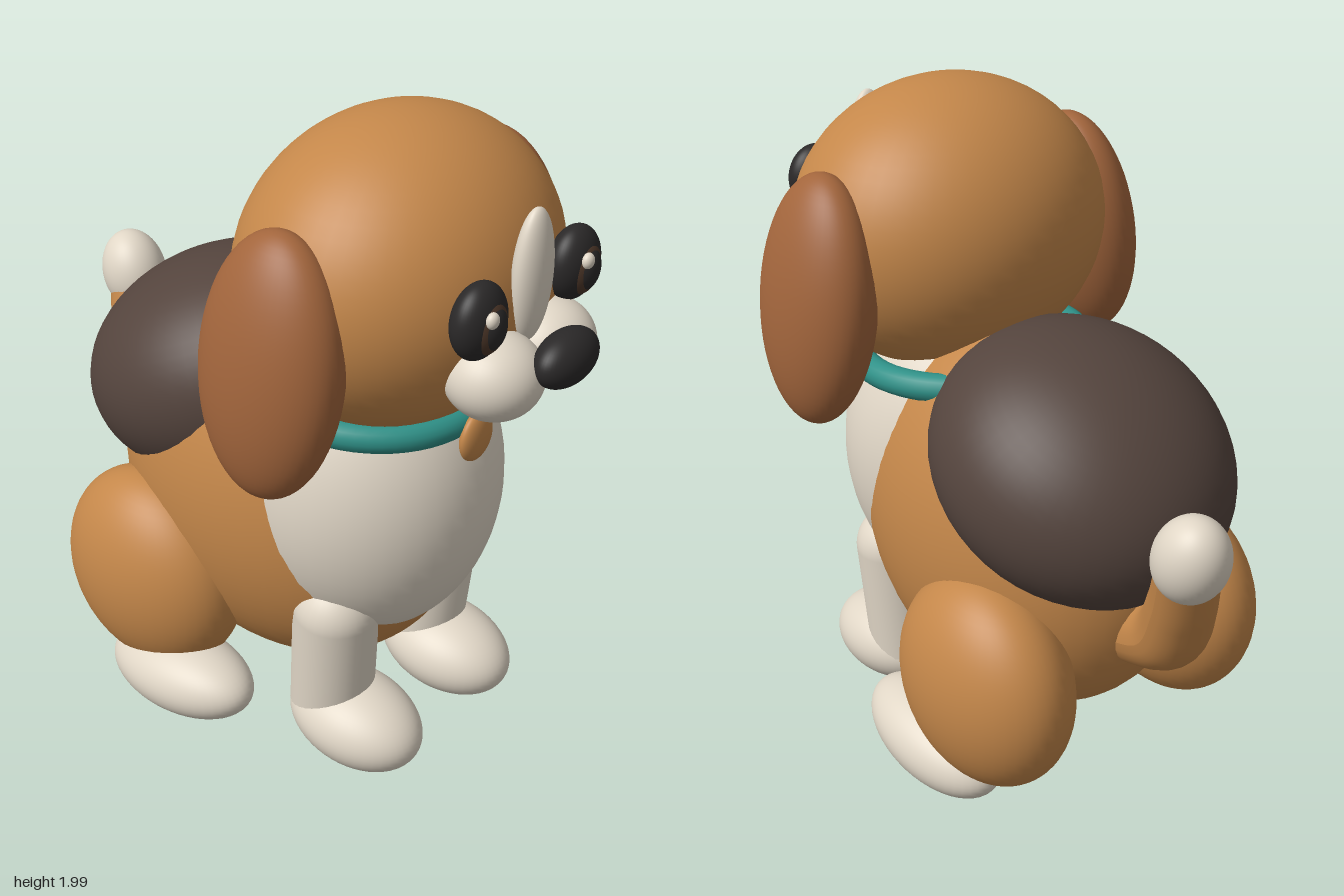
import * as THREE from 'three';

const paint = (name, color) => {
  const m = new THREE.MeshStandardMaterial({ color });
  m.name = name;
  return m;
};

export function createModel() {
  const tan = paint('tan fur', 0xc4874a);
  const brown = paint('brown ear fur', 0xa2653c);
  const dark = paint('dark saddle fur', 0x54443d);
  const cream = paint('cream fur', 0xe0d6c6);
  const black = paint('black', 0x2a2828);
  const iris = paint('iris brown', 0x4c3628);
  const teal = paint('teal collar', 0x2f9188);

  const dog = new THREE.Group();
  dog.name = 'puppy';
  const sphere = new THREE.SphereGeometry(1, 48, 32);

  const add = (name, geometry, material) => {
    const mesh = new THREE.Mesh(geometry, material);
    mesh.name = name;
    dog.add(mesh);
    return mesh;
  };
  // Ellipsoid with centre, radii and tilt
  const ball = (name, material, centre, radii, tilt = [0, 0, 0]) => {
    const mesh = add(name, sphere, material);
    mesh.position.set(...centre);
    mesh.scale.set(...radii);
    mesh.rotation.set(...tilt);
    return mesh;
  };

  // Torso with overlapping coat markings
  ball('body', tan, [0, 0.755, 0], [0.433, 0.62, 0.6]);
  ball('chest', cream, [0, 0.87, 0.28], [0.39, 0.52, 0.4]);
  ball('saddle', dark, [0, 1.03, -0.25], [0.437, 0.35, 0.47], [-0.436, 0, 0]);

  // Head and face
  ball('head', tan, [0, 1.57, 0.37], [0.49, 0.43, 0.415]);
  ball('blaze', cream, [0, 1.68, 0.785], [0.07, 0.185, 0.043]);
  ball('nose', black, [0, 1.49, 0.905], [0.115, 0.075, 0.065]);

  // Collar and tag
  const collar = add('collar', new THREE.TorusGeometry(0.333, 0.042, 16, 64), teal);
  collar.position.set(0, 1.2, 0.275);
  collar.rotation.x = Math.PI / 2 + 0.06;
  ball('collarTag', tan, [0, 1.14, 0.652], [0.066, 0.076, 0.028]);

  // Paired parts
  for (const [side, s] of [['left', 1], ['right', -1]]) {
    ball(side + 'Ear', brown, [s * 0.48, 1.45, 0.345], [0.14, 0.37, 0.218], [0, 0, s * 0.13]);
    ball(side + 'Muzzle', cream, [s * 0.115, 1.437, 0.77], [0.135, 0.118, 0.132], [0, 0, s * 0.12]);

    ball(side + 'Eye', black, [s * 0.205, 1.633, 0.775], [0.09, 0.104, 0.06]);
    ball(side + 'Iris', iris, [s * 0.205, 1.628, 0.8], [0.062, 0.078, 0.043]);
    ball(side + 'Pupil', black, [s * 0.205, 1.628, 0.81], [0.05, 0.065, 0.038]);
    ball(side + 'EyeGlint', cream, [s * 0.205 - 0.024, 1.664, 0.832], [0.02, 0.022, 0.016]);

    // Front leg: a capsule between shoulder and paw
    const foot = new THREE.Vector3(s * 0.222, 0.15, 0.345);
    const shoulder = new THREE.Vector3(s * 0.24, 0.53, 0.37);
    const axis = shoulder.clone().sub(foot);
    const leg = add(side + 'FrontLeg', new THREE.CapsuleGeometry(0.127, axis.length(), 12, 32), cream);
    leg.position.copy(foot).add(shoulder).multiplyScalar(0.5);
    leg.quaternion.setFromUnitVectors(new THREE.Vector3(0, 1, 0), axis.normalize());
    ball(side + 'FrontPaw', cream, [s * 0.222, 0.139, 0.44], [0.16, 0.133, 0.225], [0.06, 0, 0]);

    ball(side + 'Thigh', tan, [s * 0.362, 0.433, -0.26], [0.213, 0.335, 0.32]);
    ball(side + 'HindPaw', cream, [s * 0.43, 0.149, -0.09], [0.148, 0.124, 0.273], [-0.12, 0, 0]);
  }

  // Tail: a tube that narrows toward the tip
  const path = new THREE.CatmullRomCurve3([
    new THREE.Vector3(0, 0.58, -0.45),
    new THREE.Vector3(0.04, 0.68, -0.67),
    new THREE.Vector3(0.09, 0.85, -0.77),
    new THREE.Vector3(0.14, 1.03, -0.835),
  ]);
  const rings = 32, sides = 24;
  const tail = new THREE.TubeGeometry(path, rings, 0.116, sides);
  const p = tail.attributes.position, v = new THREE.Vector3();
  for (let i = 0; i < p.count; i++) {
    const t = Math.floor(i / (sides + 1)) / rings;
    v.fromBufferAttribute(p, i).lerp(path.getPointAt(t), 0.25 * t);
    p.setXYZ(i, v.x, v.y, v.z);
  }
  tail.computeVertexNormals();
  add('tail', tail, tan);
  ball('tailTip', cream, [0.145, 1.055, -0.848], [0.102, 0.138, 0.108], [-0.4, 0, -0.1]);

  return dog;
}
